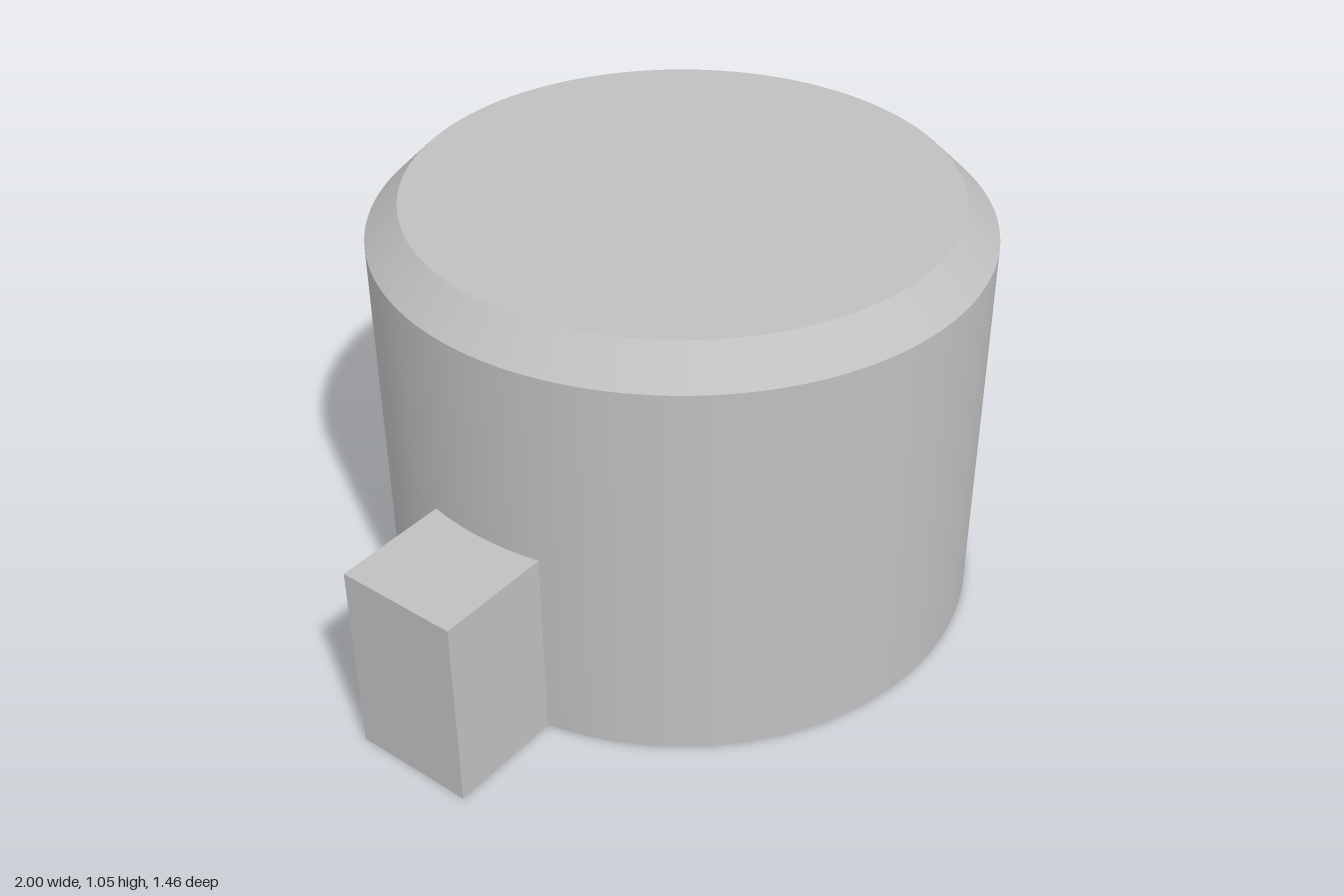
import * as THREE from 'three';

const R = 0.73, TOP_R = 0.65, WALL_H = 0.97, HEIGHT = 1.05;
const TAB_HALF = 0.152, TAB_H = 0.49, SEGMENTS = 128;

export function createModel() {
  const model = new THREE.Group();
  model.name = 'lockingCap';
  const grey = new THREE.MeshStandardMaterial({ color: 0xc0c0c0 });
  grey.name = 'light grey';

  const add = (name, geometry, y = 0) => {
    const mesh = new THREE.Mesh(geometry, grey);
    mesh.name = name;
    mesh.position.y = y;
    model.add(mesh);
    return mesh;
  };

  // Round body with a chamfered top edge
  add('bodyWall', new THREE.CylinderGeometry(R, R, WALL_H, SEGMENTS, 1, true), WALL_H / 2);
  add('chamfer', new THREE.CylinderGeometry(TOP_R, R, HEIGHT - WALL_H, SEGMENTS, 1, true), (HEIGHT + WALL_H) / 2);
  add('topFace', new THREE.CircleGeometry(TOP_R, SEGMENTS).rotateX(-Math.PI / 2), HEIGHT);
  add('bottomFace', new THREE.CircleGeometry(R, SEGMENTS).rotateX(Math.PI / 2));

  // Side tabs, with inner edges curved to meet the body
  const angle = Math.asin(TAB_HALF / R);
  const inner = R * Math.cos(angle);
  const outline = new THREE.Shape();
  outline.moveTo(inner, -TAB_HALF);
  outline.lineTo(1, -TAB_HALF);
  outline.lineTo(1, TAB_HALF);
  outline.lineTo(inner, TAB_HALF);
  outline.absarc(0, 0, R, angle, -angle, true);
  const tab = new THREE.ExtrudeGeometry(outline, { depth: TAB_H, bevelEnabled: false, curveSegments: 16 });
  tab.rotateX(-Math.PI / 2);
  add('leftTab', tab);
  add('rightTab', tab).rotation.y = Math.PI;

  return model;
}
